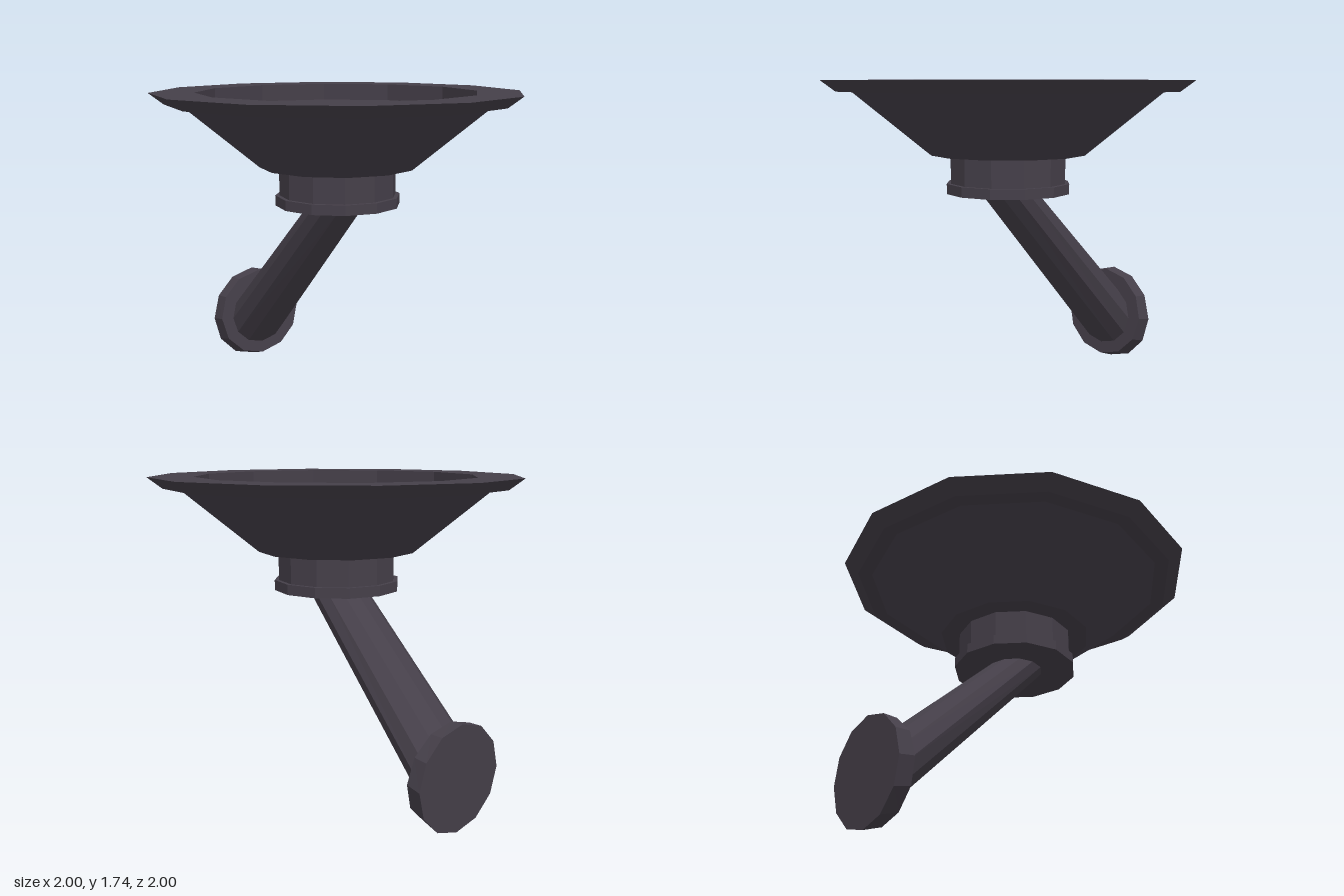
import * as THREE from 'three';

const SIDES = 12;
const darkIron = new THREE.MeshStandardMaterial({ color: 0x453f49, flatShading: true });

function addMesh(group, name, geometry) {
  const mesh = new THREE.Mesh(geometry, darkIron);
  mesh.name = name;
  group.add(mesh);
}

// Turned part from [radius, height] points, listed bottom to top
function turned(points) {
  return new THREE.LatheGeometry(points.map(([r, y]) => new THREE.Vector2(r, y)), SIDES);
}

// Capped loft between two elliptical rings, each given by its half width
// and the [y, z] positions of its rear/top and front/bottom points
function loft(start, end) {
  const geometry = new THREE.CylinderGeometry(1, 1, 1, SIDES);
  const pos = geometry.attributes.position;
  for (let i = 0; i < pos.count; i++) {
    const ring = pos.getY(i) > 0 ? start : end;
    const s = (pos.getZ(i) + 1) / 2;
    pos.setXYZ(
      i,
      pos.getX(i) * ring.halfWidth,
      THREE.MathUtils.lerp(ring.rear[0], ring.front[0], s),
      THREE.MathUtils.lerp(ring.rear[1], ring.front[1], s)
    );
  }
  geometry.computeVertexNormals();
  return geometry;
}

export function createModel() {
  const group = new THREE.Group();
  group.name = 'wallSconce';

  // Dish with a bevelled rim and a shallow recess
  addMesh(group, 'dish', turned([
    [0, 1.34], [0.425, 1.34], [0.84, 1.68], [0.92, 1.68],
    [1, 1.74], [0.76, 1.74], [0.76, 1.645], [0, 1.645],
  ]));

  // Neck with a wider collar at its foot
  addMesh(group, 'neck', turned([
    [0, 1.13], [0.343, 1.13], [0.343, 1.185], [0.32, 1.185], [0.32, 1.34],
  ]));

  // Slanted arm, level at the neck and upright at the wall
  addMesh(group, 'arm', loft(
    { halfWidth: 0.158, rear: [1.135, -0.157], front: [1.135, 0.157] },
    { halfWidth: 0.2, rear: [0.475, -0.86], front: [0.1, -0.83] }
  ));

  // Slightly tilted wall plate
  addMesh(group, 'wallPlate', loft(
    { halfWidth: 0.28, rear: [0.572, -0.86], front: [0.038, -0.815] },
    { halfWidth: 0.285, rear: [0.575, -0.935], front: [0.003, -0.917] }
  ));

  return group;
}
